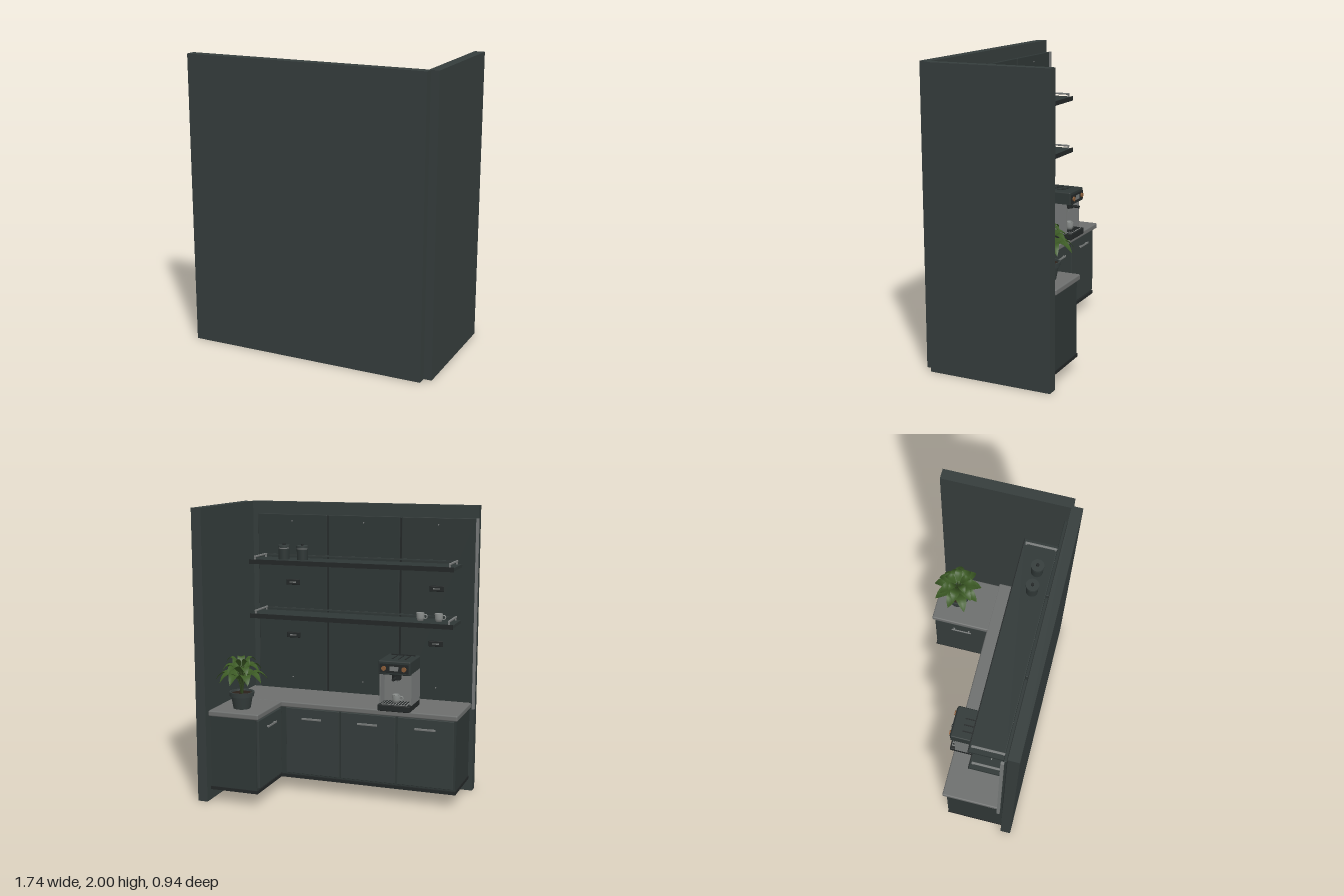
import * as THREE from 'three';
import { RoundedBoxGeometry } from 'three/addons/geometries/RoundedBoxGeometry.js';

const mat = (name, color, side = THREE.FrontSide) => {
  const m = new THREE.MeshStandardMaterial({ color, side });
  m.name = name;
  return m;
};

export function createModel() {
  const root = new THREE.Group();
  root.name = 'coffeeCorner';
  const M = {
    wall: mat('darkSlate', 0x353d3c),
    panel: mat('deepSlate', 0x2f3736),
    stone: mat('stoneGrey', 0x6d6f6e),
    metal: mat('brushedMetal', 0x777a79),
    black: mat('charcoal', 0x232727),
    copper: mat('copper', 0x8a5c38),
    cup: mat('paleCeramic', 0x8d918f),
    leaf: mat('leafGreen', 0x3c5a25, THREE.DoubleSide),
    stem: mat('stemGreen', 0x31451f),
    soil: mat('soil', 0x2a211a),
  };

  const add = (name, geo, m, parent = root, x = 0, y = 0, z = 0) => {
    const mesh = new THREE.Mesh(geo, m);
    mesh.name = name;
    mesh.position.set(x, y, z);
    parent.add(mesh);
    return mesh;
  };
  // Box given by its minimum and maximum on each axis; r rounds the edges
  const box = (name, m, x0, x1, y0, y1, z0, z1, parent = root, r = 0) => {
    const s = [x1 - x0, y1 - y0, z1 - z0];
    const geo = r ? new RoundedBoxGeometry(...s, 2, r) : new THREE.BoxGeometry(...s);
    return add(name, geo, m, parent, (x0 + x1) / 2, (y0 + y1) / 2, (z0 + z1) / 2);
  };
  const cyl = (name, m, r1, r0, h, x, y, z, parent = root, n = 24) =>
    add(name, new THREE.CylinderGeometry(r1, r0, h, n), m, parent, x, y + h / 2, z);
  const group = (name, x = 0, y = 0, z = 0) => {
    const g = new THREE.Group();
    g.name = name;
    g.position.set(x, y, z);
    root.add(g);
    return g;
  };

  // Walls
  box('mainWall', M.wall, -0.86, 0.81, 0, 2, 0.40, 0.472);
  box('sideWall', M.wall, 0.795, 0.865, 0, 2, -0.44, 0.41);

  // Wall panels with their fixings and end trim
  const panels = [[-0.85, -0.33], [-0.315, 0.208], [0.222, 0.745]];
  for (const [x0, x1] of panels) {
    box('wallPanel', M.panel, x0, x1, 0.6, 1.915, 0.375, 0.394, root, 0.004);
    for (const y of [0.73, 1.865]) {
      const s = cyl('panelScrew', M.metal, 0.005, 0.005, 0.004, (x0 + x1) / 2, y, 0.374, root, 10);
      s.rotation.x = Math.PI / 2;
    }
  }
  box('panelBacking', M.black, -0.84, 0.74, 0.61, 1.905, 0.392, 0.4);
  box('endTrim', M.metal, -0.87, -0.852, 0.6, 1.915, 0.362, 0.382);

  // Base cabinets and worktops
  box('longCabinet', M.panel, -0.83, 0.79, 0.11, 0.606, 0.01, 0.395);
  box('returnCabinet', M.panel, 0.432, 0.765, 0.11, 0.606, -0.425, 0.012);
  box('longCabinetBase', M.black, -0.835, 0.79, 0.09, 0.112, -0.004, 0.395);
  box('returnCabinetBase', M.black, 0.425, 0.77, 0.09, 0.112, -0.43, 0);
  box('longWorktop', M.stone, -0.845, 0.795, 0.606, 0.645, -0.03, 0.376, root, 0.009);
  box('returnWorktop', M.stone, 0.41, 0.775, 0.606, 0.645, -0.44, -0.02, root, 0.009);

  // Door with a bar handle, built facing -z around its centre
  const door = (w, x, z, turn) => {
    const g = group('cabinetDoor', x, 0, z);
    g.rotation.y = turn;
    box('doorLeaf', M.wall, -w / 2, w / 2, 0.125, 0.598, -0.016, 0.004, g, 0.004);
    box('handleBar', M.metal, -0.073, 0.073, 0.522, 0.537, -0.034, -0.027, g, 0.003);
    for (const s of [-0.055, 0.055])
      box('handlePost', M.metal, s - 0.006, s + 0.006, 0.525, 0.534, -0.03, -0.014, g);
  };
  for (const x of [0.192, -0.215, -0.622]) door(0.392, x, 0.008, 0);
  door(0.392, 0.43, -0.22, Math.PI / 2);

  // Shelves with end rails, a light strip beneath and wall brackets
  for (const y of [1.605, 1.22]) {
    const g = group('shelf', 0, y, 0);
    box('shelfBoard', M.panel, -0.76, 0.715, -0.022, 0, 0.14, 0.375, g);
    box('shelfFrontLip', M.black, -0.76, 0.715, -0.028, 0.004, 0.136, 0.142, g);
    box('shelfBackRail', M.wall, -0.73, 0.685, 0.016, 0.024, 0.358, 0.366, g);
    box('lightStrip', M.copper, -0.7, 0.655, -0.027, -0.021, 0.225, 0.275, g);
    for (const x of [-0.728, 0.68]) {
      box('endRail', M.metal, x - 0.007, x + 0.007, 0.016, 0.028, 0.152, 0.366, g, 0.003);
      for (const z of [0.16, 0.355])
        box('railPost', M.metal, x - 0.005, x + 0.005, 0, 0.02, z - 0.005, z + 0.005, g);
    }
    for (const x of [-0.587, 0.475]) {
      box('bracketPlate', M.black, x - 0.05, x + 0.05, -0.195, -0.155, 0.36, 0.377, g, 0.004);
      box('bracketInset', M.metal, x - 0.025, x + 0.025, -0.179, -0.171, 0.356, 0.362, g);
    }
  }

  // Storage jars on the upper shelf
  for (const x of [0.365, 0.505]) {
    const g = group('jar', x, 1.605, 0.27);
    cyl('jarBody', M.panel, 0.04, 0.038, 0.075, 0, 0, 0, g);
    cyl('jarBand', M.metal, 0.036, 0.036, 0.012, 0, 0.073, 0, g);
    cyl('jarLid', M.wall, 0.043, 0.043, 0.016, 0, 0.083, 0, g);
    cyl('jarKnob', M.black, 0.01, 0.01, 0.012, 0, 0.098, 0, g, 12);
  }

  // Cups: open lathe with a ring handle
  const cupProfile = [[0, 0], [0.02, 0], [0.026, 0.02], [0.029, 0.055], [0.026, 0.055], [0.022, 0.012], [0, 0.008]]
    .map(([r, y]) => new THREE.Vector2(r, y));
  const cup = (x, y, z) => {
    const g = group('cup', x, y, z);
    add('cupBody', new THREE.LatheGeometry(cupProfile, 24), M.cup, g);
    add('cupHandle', new THREE.TorusGeometry(0.014, 0.004, 8, 16), M.cup, g, -0.034, 0.03, 0);
  };
  cup(-0.5, 1.22, 0.27);
  cup(-0.63, 1.22, 0.27);

  // Coffee machine
  const c = group('coffeeMachine', -0.4125, 0.645, 0);
  box('machineBase', M.black, -0.112, 0.112, 0, 0.045, -0.06, 0.2, c, 0.006);
  box('dripTray', M.metal, -0.09, 0.09, 0.044, 0.049, -0.05, 0.06, c);
  for (let i = -4; i <= 4; i++)
    box('trayBar', M.black, i * 0.019 - 0.004, i * 0.019 + 0.004, 0.048, 0.052, -0.046, 0.055, c);
  box('machineColumn', M.metal, -0.105, 0.105, 0.04, 0.26, 0.07, 0.195, c);
  for (const s of [-1, 1])
    box('sidePanel', M.metal, s * 0.107 - 0.005, s * 0.107 + 0.005, 0.04, 0.26, -0.02, 0.195, c);
  box('machineHead', M.panel, -0.112, 0.112, 0.25, 0.345, -0.05, 0.2, c, 0.008);
  box('controlPlate', M.black, -0.1, 0.1, 0.265, 0.325, -0.056, -0.049, c);
  box('controlDisplay', M.metal, -0.03, 0.03, 0.28, 0.31, -0.059, -0.055, c);
  for (const x of [-0.07, 0.07]) {
    const k = cyl('controlKnob', M.copper, 0.016, 0.016, 0.014, x, 0.288, -0.059, c, 20);
    k.rotation.x = Math.PI / 2;
  }
  for (const x of [-0.055, -0.01, 0.035])
    box('topVent', M.black, x - 0.004, x + 0.004, 0.343, 0.348, 0.02, 0.15, c);
  box('warmingRail', M.black, -0.085, 0.085, 0.344, 0.351, 0.16, 0.168, c);
  cyl('brewGroup', M.black, 0.035, 0.03, 0.045, 0, 0.208, 0.012, c);
  const arm = cyl('filterHandle', M.black, 0.009, 0.011, 0.07, 0, 0.188, -0.035, c, 12);
  arm.rotation.x = Math.PI / 2;
  for (const x of [-0.012, 0.012]) cyl('spout', M.metal, 0.005, 0.004, 0.03, x, 0.18, 0.012, c, 10);
  cup(-0.4125, 0.697, 0.005);

  // Potted plant
  const p = group('pottedPlant', 0.592, 0.645, -0.29);
  const potProfile = [[0, 0], [0.058, 0], [0.074, 0.085], [0.083, 0.085], [0.085, 0.115], [0.074, 0.115], [0.07, 0.095]]
    .map(([r, y]) => new THREE.Vector2(r, y));
  // Doubled corner points keep the pot edges crisp
  const crisp = potProfile.flatMap((v, i) => (i ? [v, v.clone()] : [v]));
  add('pot', new THREE.LatheGeometry(crisp, 32), M.wall, p);
  cyl('potSoil', M.soil, 0.072, 0.07, 0.01, 0, 0.093, 0, p);

  // Arched, folded leaf blade running along +x from its stem
  const leafGeo = (len, width, rise, drop) => {
    const g = new THREE.PlaneGeometry(1, 1, 10, 4);
    const a = g.attributes.position;
    for (let i = 0; i < a.count; i++) {
      const t = a.getX(i) + 0.5, s = a.getY(i) * 2;
      const w = width * Math.pow(Math.sin(Math.PI * Math.pow(t, 0.85)), 0.8) / 2;
      const y = rise * Math.sin(t * Math.PI * 0.75) - drop * t * t + Math.abs(s) * w * 0.3;
      a.setXYZ(i, len * t, y, -s * (t > 0.999 ? 0 : w || 0));
    }
    g.computeVertexNormals();
    return g;
  };
  const rings = [
    { n: 9, r: 0.03, y: 0.2, len: 0.142, w: 0.078, rise: 0.06, drop: 0.055, off: 0.2 },
    { n: 7, r: 0.022, y: 0.245, len: 0.12, w: 0.07, rise: 0.065, drop: 0.04, off: 0.5 },
    { n: 5, r: 0.014, y: 0.285, len: 0.085, w: 0.052, rise: 0.065, drop: 0.015, off: 0.1 },
  ];
  for (const k of rings) {
    for (let i = 0; i < k.n; i++) {
      const vary = 1 + 0.08 * Math.sin(i * 2.4 + k.off * 9);
      const g = new THREE.Group();
      g.name = 'leafStalk';
      g.rotation.y = ((i + k.off) / k.n) * Math.PI * 2;
      p.add(g);
      const path = new THREE.QuadraticBezierCurve3(
        new THREE.Vector3(0.008, 0.1, 0), new THREE.Vector3(0.008, k.y - 0.02, 0), new THREE.Vector3(k.r + 0.004, k.y + 0.004, 0));
      add('stalk', new THREE.TubeGeometry(path, 6, 0.003, 6), M.stem, g);
      add('leaf', leafGeo(k.len * vary, k.w, k.rise, k.drop), M.leaf, g, k.r, k.y, 0);
    }
  }
  return root;
}
